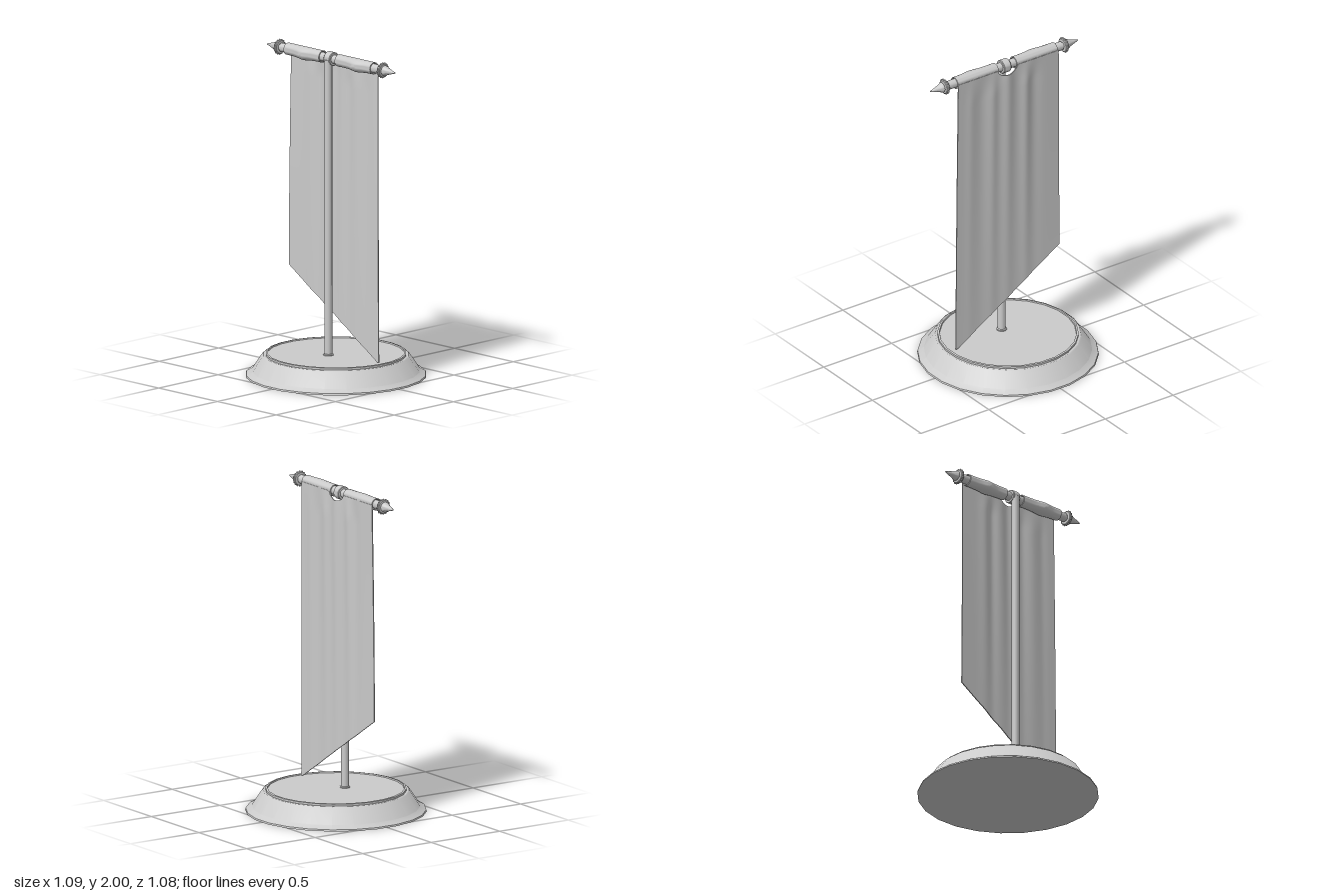
import * as THREE from 'three';
import { toCreasedNormals } from 'three/addons/utils/BufferGeometryUtils.js';

const BAR_Y = 1.953, BAR_Z = 0.04;
const material = new THREE.MeshStandardMaterial({ color: 0xcccccc });

function add(parent, name, geometry) {
  const mesh = new THREE.Mesh(geometry, material);
  mesh.name = name;
  parent.add(mesh);
  return mesh;
}

// Turned part from [radius, height] pairs, with crisp edges
function turned(profile, sides, start = 0) {
  const points = profile.map(([r, y]) => new THREE.Vector2(r, y));
  return toCreasedNormals(new THREE.LatheGeometry(points, sides, start), 0.5);
}

// Same, with its axis laid along x
const turnedAlongX = (profile, sides) => turned(profile, sides).rotateZ(-Math.PI / 2);

// Move every vertex of a geometry by a rule
function reshape(geometry, rule) {
  const pos = geometry.attributes.position, p = new THREE.Vector3();
  for (let i = 0; i < pos.count; i++) {
    p.fromBufferAttribute(pos, i);
    rule(p);
    pos.setXYZ(i, p.x, p.y, p.z);
  }
  return geometry;
}

const bump = (x, centre, width) => Math.exp(-(((x - centre) / width) ** 2));

// Hanging cloth: slanted lower hem, scooped notch at the pole, soft folds
function clothGeometry() {
  const g = new THREE.BoxGeometry(1, 1, 0.006, 72, 48, 1);
  reshape(g, (p) => {
    const u = p.x + 0.5, v = p.y + 0.5;
    const x0 = THREE.MathUtils.lerp(-0.375, 0.365, u);
    const notch = Math.max(0, 1 - (x0 / 0.072) ** 2);
    const top = 1.955 - 0.043 * Math.sqrt(notch);
    const bottom = Math.max(0.14, 0.62 - 0.66 * (x0 + 0.375));
    const drop = 1 - v;
    const fade = 0.3 + 0.7 * v;
    const folds = -0.011 * bump(x0, -0.13, 0.035) + 0.006 * bump(x0, -0.2, 0.04)
      - 0.009 * bump(x0, 0.11, 0.035) + 0.005 * bump(x0, 0.19, 0.04)
      - 0.012 * bump(x0, 0, 0.04) - 0.004 * bump(x0, 0.27, 0.03);
    p.x = x0 + drop * (u - 0.5) * 0.025;
    p.y = THREE.MathUtils.lerp(bottom, top, v);
    p.z += 0.004 + 0.008 * Math.sin(drop * Math.PI * 0.6) + folds * fade * Math.min(1, drop * 12 + notch);
  });
  g.computeVertexNormals();
  return g;
}

// Cloth sleeve around the bar, sagging a little at the front and below
function sleeveGeometry(centre, sag) {
  const half = 0.15, outer = 0.037, inner = 0.031, profile = [[inner, -half]];
  for (let i = 0; i <= 24; i++) profile.push([outer, -half + (2 * half * i) / 24]);
  profile.push([inner, half], [inner, -half]);
  const g = turnedAlongX(profile, 28);
  reshape(g, (p) => {
    const amount = bump(p.x + centre, sag, 0.05) * (Math.hypot(p.y, p.z) > 0.034 ? 1 : 0);
    if (p.z > 0) p.z *= 1 + 0.4 * amount;
    if (p.y < 0) p.y *= 1 + 0.22 * amount;
    p.x += centre;
  });
  return toCreasedNormals(g, 0.7);
}

// Beaded ring and pointed cone for one end of the bar
function finial() {
  const group = new THREE.Group();
  group.name = 'finial';
  add(group, 'finialPoint', turnedAlongX([
    [0, 0.40], [0.022, 0.40], [0.022, 0.452], [0.031, 0.456], [0.029, 0.466],
    [0.022, 0.48], [0.013, 0.51], [0.004, 0.542], [0, 0.547],
  ], 24));
  add(group, 'finialRing', turnedAlongX([
    [0.02, 0.428], [0.039, 0.428], [0.043, 0.432], [0.043, 0.446], [0.039, 0.45], [0.02, 0.45],
  ], 28));
  const beadShape = new THREE.SphereGeometry(0.0055, 8, 6);
  for (let i = 0; i < 16; i++) {
    const a = (i / 16) * Math.PI * 2;
    add(group, 'ringBead', beadShape).position.set(0.439, 0.044 * Math.cos(a), 0.044 * Math.sin(a));
  }
  return group;
}

export function createModel() {
  const model = new THREE.Group();
  model.name = 'bannerStand';

  // Round base with a sloped side and a thin raised rim
  add(model, 'base', turned([
    [0, 0], [0.545, 0], [0.542, 0.01], [0.505, 0.03], [0.445, 0.122], [0.437, 0.127],
    [0.424, 0.127], [0.424, 0.139], [0.412, 0.141], [0.41, 0.133], [0, 0.133],
  ], 24, Math.PI / 24));

  // Upright pole with a small foot
  add(model, 'pole', turned([
    [0, 0.13], [0.031, 0.13], [0.031, 0.139], [0.024, 0.143], [0.024, 1.95], [0, 1.95],
  ], 24)).position.z = 0.065;

  // Crossbar with its centre collar, finials and cloth sleeves
  const crossbar = new THREE.Group();
  crossbar.name = 'crossbar';
  crossbar.position.set(0, BAR_Y, BAR_Z);
  model.add(crossbar);
  add(crossbar, 'bar', turnedAlongX([[0, -0.42], [0.027, -0.42], [0.027, 0.42], [0, 0.42]], 24));
  add(crossbar, 'collar', turnedAlongX([
    [0.026, -0.026], [0.039, -0.026], [0.042, -0.022], [0.042, 0.022], [0.039, 0.026], [0.026, 0.026],
  ], 28));
  const leftFinial = finial(), rightFinial = finial();
  rightFinial.rotation.y = Math.PI;
  crossbar.add(leftFinial, rightFinial);
  add(crossbar, 'leftSleeve', sleeveGeometry(0.215, 0.235));
  add(crossbar, 'rightSleeve', sleeveGeometry(-0.22, -0.22));

  add(model, 'cloth', clothGeometry());
  return model;
}
